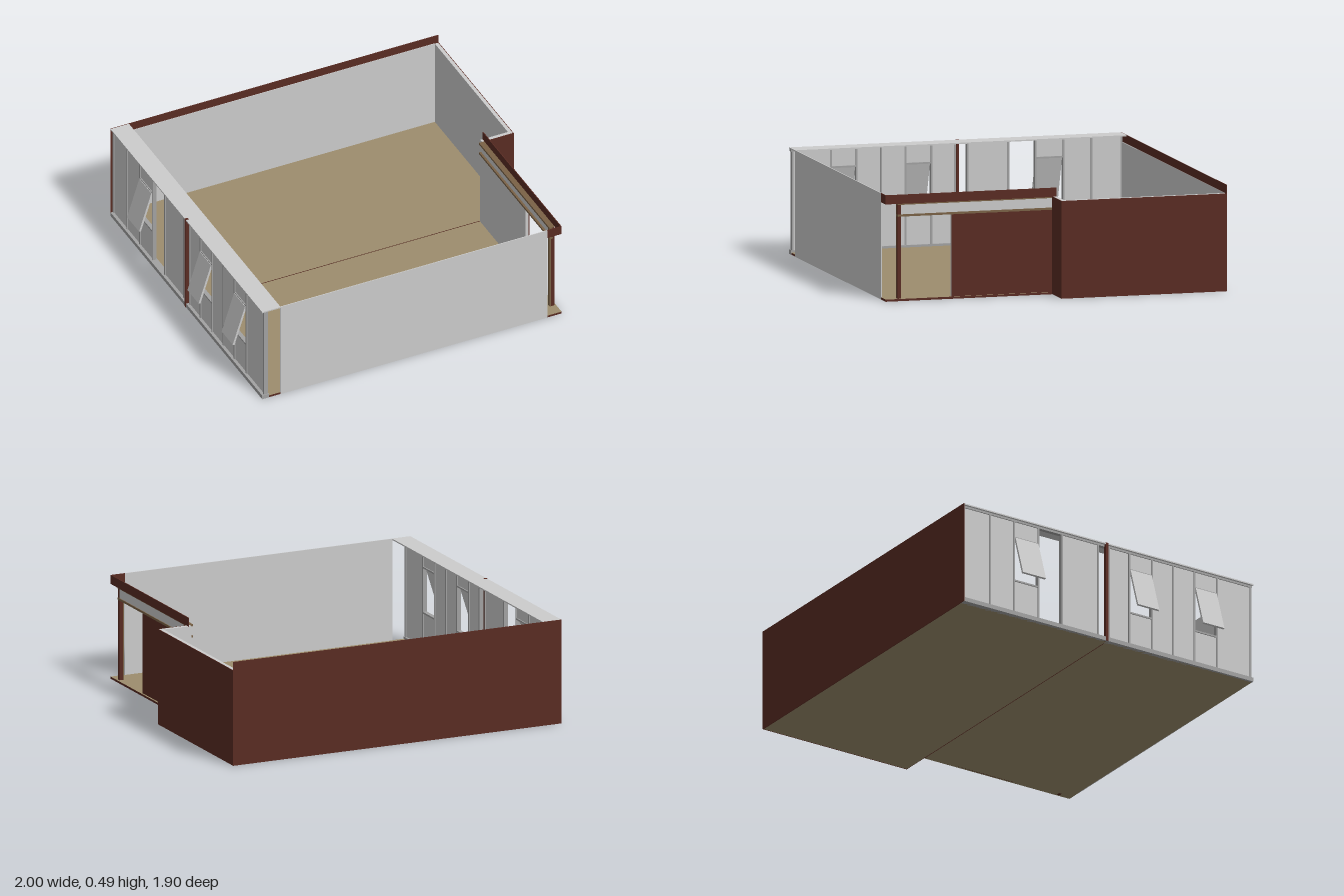
import * as THREE from 'three';

const mat = (name, color, extra = {}) => {
  const m = new THREE.MeshStandardMaterial({ color, ...extra });
  m.name = name;
  return m;
};

export function createModel() {
  const red = mat('brick red', 0x5a2c23);
  const light = mat('light grey', 0xcccccc);
  const frame = mat('frame grey', 0xa2a2a2);
  const tan = mat('floor tan', 0x9d8d6d);
  const brown = mat('wood brown', 0x7a6246);

  const model = new THREE.Group();
  model.name = 'openRoom';

  // Room axes: x across from the window wall, z along it; origin at the back corner
  const room = new THREE.Group();
  room.name = 'room';
  room.rotation.y = -THREE.MathUtils.degToRad(14.2);
  room.position.set(-0.612, 0, -0.952);
  model.add(room);

  const box = (name, material, x0, x1, y0, y1, z0, z1, parent = room) => {
    const mesh = new THREE.Mesh(new THREE.BoxGeometry(x1 - x0, y1 - y0, z1 - z0), material);
    mesh.position.set((x0 + x1) / 2, (y0 + y1) / 2, (z0 + z1) / 2);
    mesh.name = name;
    parent.add(mesh);
    return mesh;
  };

  const W = 1.66, F = 1.516, D = 1.58, N = 0.786; // widths, depth, notch line
  const H = 0.49, L = 0.45;                       // tall and low wall heights

  // Floor slabs with red edges and a narrow joint between them
  const slab = [red, red, tan, tan, red, red];
  box('backFloor', slab, 0.012, W - 0.004, 0, 0.01, 0.004, N - 0.002);
  box('frontFloor', slab, 0.012, F, 0, 0.01, N + 0.002, D - 0.001);

  // Back wall: red outside, lighter lining that stops below the top
  box('backWallOuter', red, 0, W, 0, H, 0, 0.003);
  box('backWallLining', light, 0.02, W - 0.02, 0.01, L, 0.003, 0.006);

  // Front wall
  box('frontWall', light, 0.093, 1.444, 0, H, D - 0.004, D);

  // Low right wall and the return wall of the notch
  box('rightWallOuter', red, W - 0.003, W, 0, L, 0.003, N);
  box('rightWallLining', light, W - 0.02, W - 0.003, 0.005, L, 0.006, N - 0.003);
  box('notchWallOuter', red, 1.5, W - 0.003, 0, L, N - 0.003, N);
  box('notchWallLining', light, 1.5, W - 0.02, 0.005, L, N - 0.02, N - 0.003);

  // Entrance: solid panel, post, transom and header
  box('entrancePanelOuter', red, 1.503, 1.508, 0, 0.39, N, 1.263);
  box('entrancePanelLining', light, 1.488, 1.503, 0.01, 0.39, N, 1.263);
  box('entrancePost', red, 1.49, 1.508, 0, L, 1.505, 1.52);
  box('entrancePostCover', brown, 1.484, 1.49, 0.01, L, 1.503, 1.52);
  box('transomPane', light, 1.494, 1.506, 0.398, 0.444, N, 1.505);
  for (const y of [0.388, 0.442]) box('transomRail', brown, 1.484, 1.51, y, y + 0.01, N, 1.52);
  box('header', red, F - 0.004, F, L - 0.002, H, N - 0.02, D);
  box('headerEnd', red, 1.444, F - 0.004, L - 0.002, H, D - 0.004, D);

  // Window wall: ledge, sill, rails, mullions
  box('topLedge', light, 0, 0.093, H - 0.006, H, 0.003, D);
  box('bottomSill', frame, 0, 0.034, 0, 0.02, 0.003, D);
  box('topRail', frame, 0.01, 0.03, 0.474, H - 0.006, 0.003, D);
  box('wallPost', red, -0.002, 0.014, 0, H + 0.001, 0.775, 0.788);
  const lines = [0.008, 0.15, 0.283, 0.416, 0.544, 0.74, 0.8, 0.911, 1.035, 1.15, 1.267, 1.39, 1.572];
  for (const z of lines) box('mullion', frame, 0.01, 0.03, 0.02, 0.474, z - 0.004, z + 0.004);

  // Bays between mullions: solid, open, or with a tilted sash
  const open = [3, 5], sash = [2, 7, 10];
  for (let i = 0; i < lines.length - 1; i++) {
    const a = lines[i] + 0.004, b = lines[i + 1] - 0.004;
    if (open.includes(i)) continue;
    if (!sash.includes(i)) {
      box('windowPanel', light, 0.015, 0.025, 0.02, 0.474, a, b);
      continue;
    }
    box('lowerPanel', light, 0.015, 0.025, 0.02, 0.176, a, b);
    box('upperPanel', light, 0.015, 0.025, 0.398, 0.474, a, b);
    for (const y of [0.176, 0.39]) box('windowRail', frame, 0.01, 0.03, y, y + 0.008, a, b);
    const hinge = new THREE.Group();
    hinge.name = 'tiltedWindow';
    hinge.position.set(0.012, 0.392, 0);
    hinge.rotation.z = -0.307;
    room.add(hinge);
    box('sash', light, -0.005, 0.005, -0.206, 0, a, b, hinge);
  }

  return model;
}
